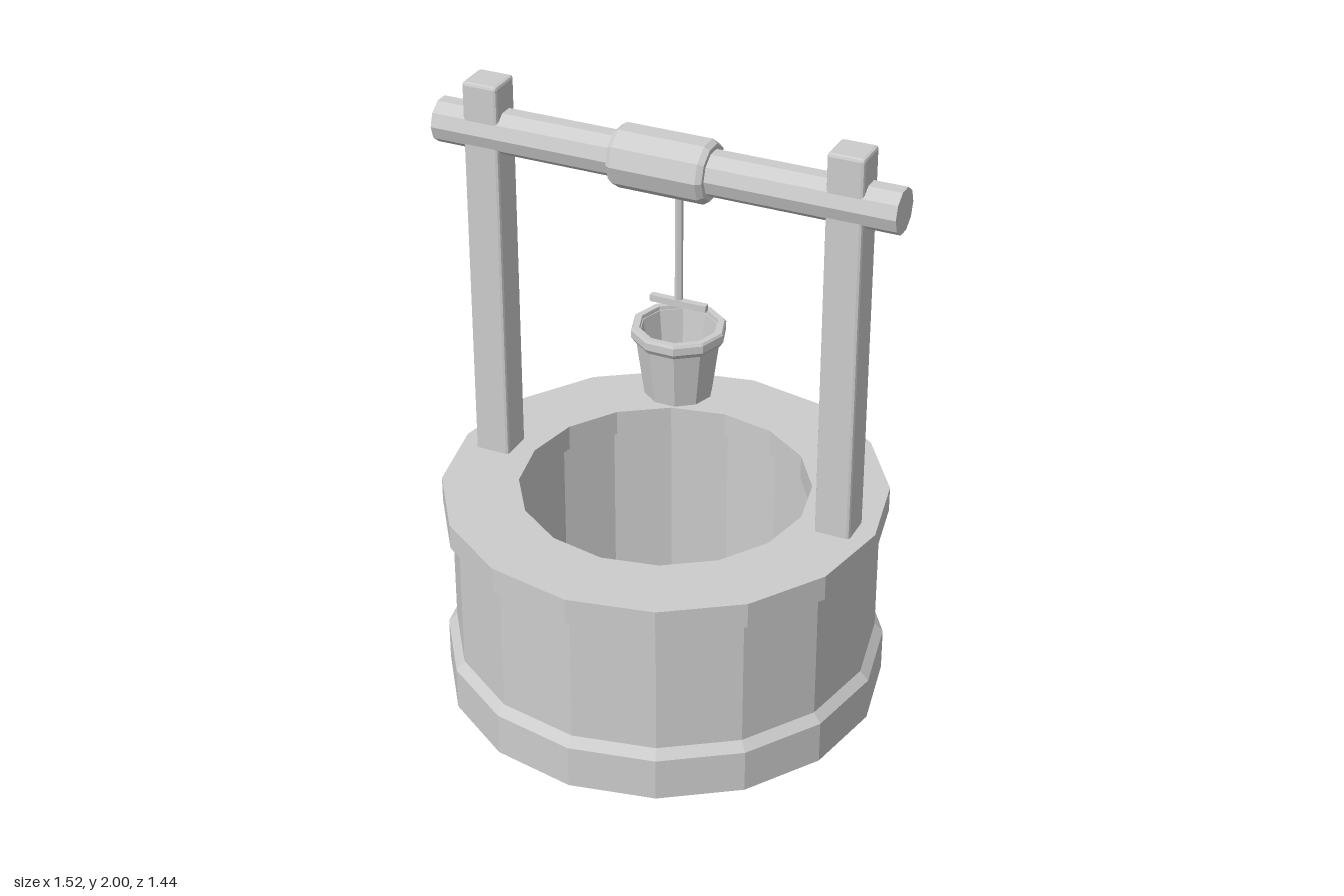
import * as THREE from 'three';
import { RoundedBoxGeometry } from 'three/addons/geometries/RoundedBoxGeometry.js';

export function createModel() {
  const group = new THREE.Group();
  const grey = new THREE.MeshStandardMaterial({ color: 0xcccccc, flatShading: true });
  grey.name = 'grey';

  const add = (name, geometry, x = 0, y = 0, z = 0) => {
    const mesh = new THREE.Mesh(geometry, grey);
    mesh.name = name;
    mesh.position.set(x, y, z);
    group.add(mesh);
    return mesh;
  };
  // Faceted solid turned around y; profile runs up the outside
  const turned = (profile, sides, start = 0) =>
    new THREE.LatheGeometry(profile.map(([r, y]) => new THREE.Vector2(r, y)), sides, start);

  // Stone wall with a wide foot, and an overhanging rim
  add('wall', turned([
    [0.5, 0], [0.718, 0], [0.718, 0.145], [0.69, 0.175], [0.69, 0.62],
    [0.5, 0.62], [0.5, 0],
  ], 16));
  add('rim', turned([
    [0.47, 0.62], [0.718, 0.62], [0.718, 0.705], [0.47, 0.705], [0.47, 0.62],
  ], 16));

  // Posts with narrow chamfers
  for (const side of [1, -1]) {
    add(side > 0 ? 'leftPost' : 'rightPost',
      new RoundedBoxGeometry(0.118, 1.31, 0.118, 1, 0.01), side * 0.595, 1.345, 0);
  }

  // Ten-sided axle and the thicker winding drum around it
  const axleY = 1.835;
  add('axle', turned([[0, -0.76], [0.072, -0.76], [0.072, 0.76], [0, 0.76]], 10), 0, axleY)
    .rotation.z = Math.PI / 2;
  add('drum', turned([
    [0.06, -0.157], [0.088, -0.157], [0.1, -0.14], [0.1, 0.14], [0.088, 0.157], [0.06, 0.157],
  ], 10), 0, axleY).rotation.z = Math.PI / 2;

  // Rope hanging behind the drum, ending in a crossbar
  const ropeZ = -0.1;
  add('rope', new THREE.CylinderGeometry(0.013, 0.013, 0.51, 6), 0, 1.58, ropeZ);
  add('crossbar', new THREE.BoxGeometry(0.19, 0.022, 0.022), 0, 1.313, ropeZ);

  // Open tapered bucket with a raised hoop at the lip
  add('bucket', turned([
    [0, 1.0], [0.11, 1.0], [0.136, 1.19], [0.14, 1.225], [0.122, 1.225], [0.098, 1.03], [0, 1.03],
  ], 10, Math.PI / 2), 0, 0, ropeZ);
  add('bucketHoop', turned([
    [0.122, 1.19], [0.14, 1.188], [0.152, 1.205], [0.152, 1.23], [0.147, 1.238],
    [0.126, 1.238], [0.122, 1.19],
  ], 10, Math.PI / 2), 0, 0, ropeZ);

  return group;
}
